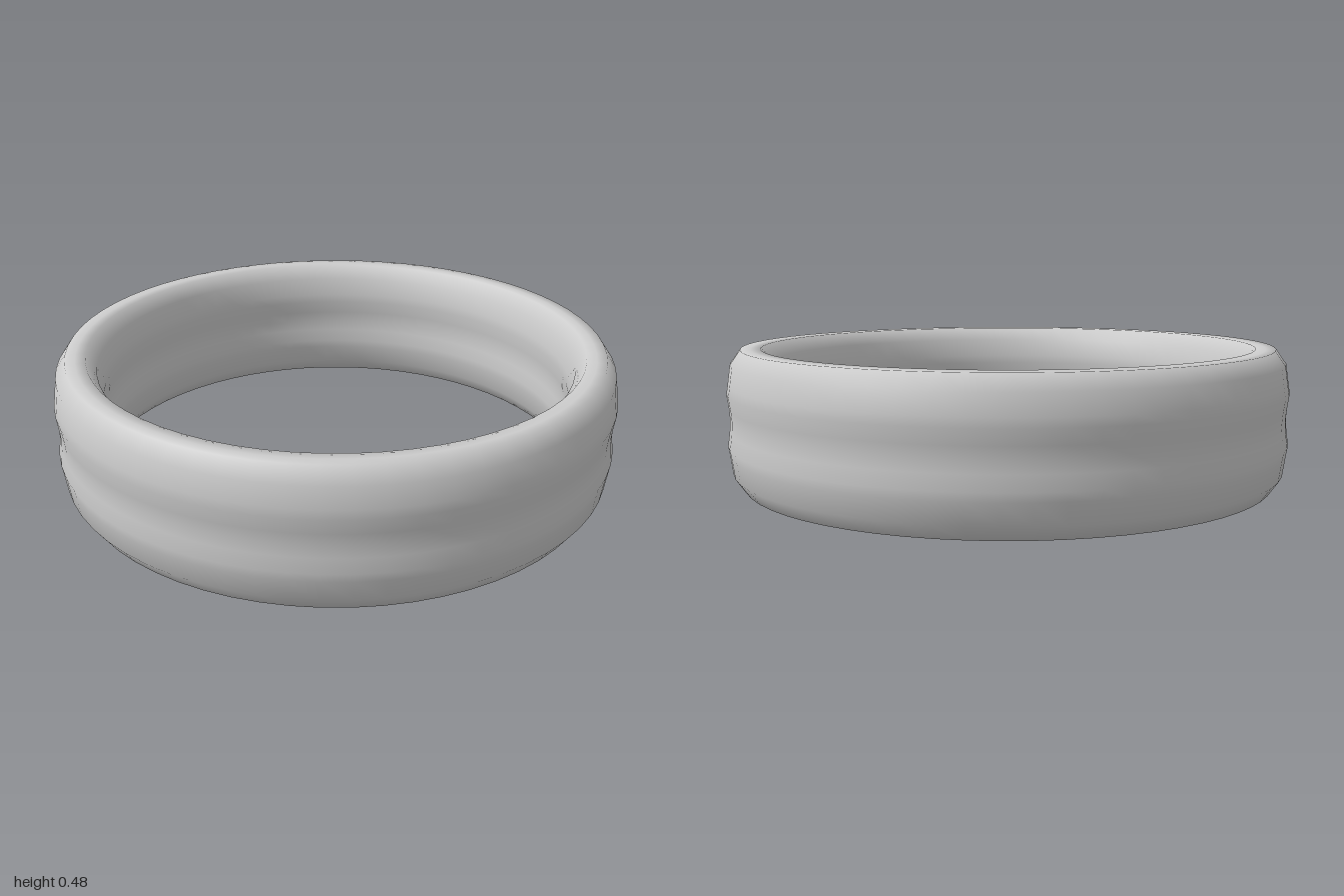
import * as THREE from 'three';

const HEIGHT = 0.48;
const MID_RADIUS = 0.915;

export function createModel() {
  const group = new THREE.Group();
  group.name = 'ring';

  // Lower outer quarter of the band section: [offset from mid radius, height],
  // a rounded rim with a slightly hollow waist.
  const quarter = [[0, 0], [0.035, 0], [0.07, 0.05], [0.08, 0.12], [0.085, 0.15], [0.078, 0.2]];
  const waist = [[0.075, HEIGHT / 2]];
  const flipY = ([r, y]) => [r, HEIGHT - y];
  const flipR = ([r, y]) => [-r, y];

  // Mirror the quarter to get the outer half, then the inner half, as a closed loop.
  const outer = [...quarter, ...waist, ...quarter.map(flipY).reverse()];
  const inner = outer.map(flipR).reverse().slice(1);
  const profile = [...outer, ...inner].map(([r, y]) => new THREE.Vector2(MID_RADIUS + r, y));

  const band = new THREE.Mesh(
    new THREE.LatheGeometry(profile, 64),
    new THREE.MeshStandardMaterial({ color: 0xcccccc })
  );
  band.name = 'band';
  group.add(band);
  return group;
}
